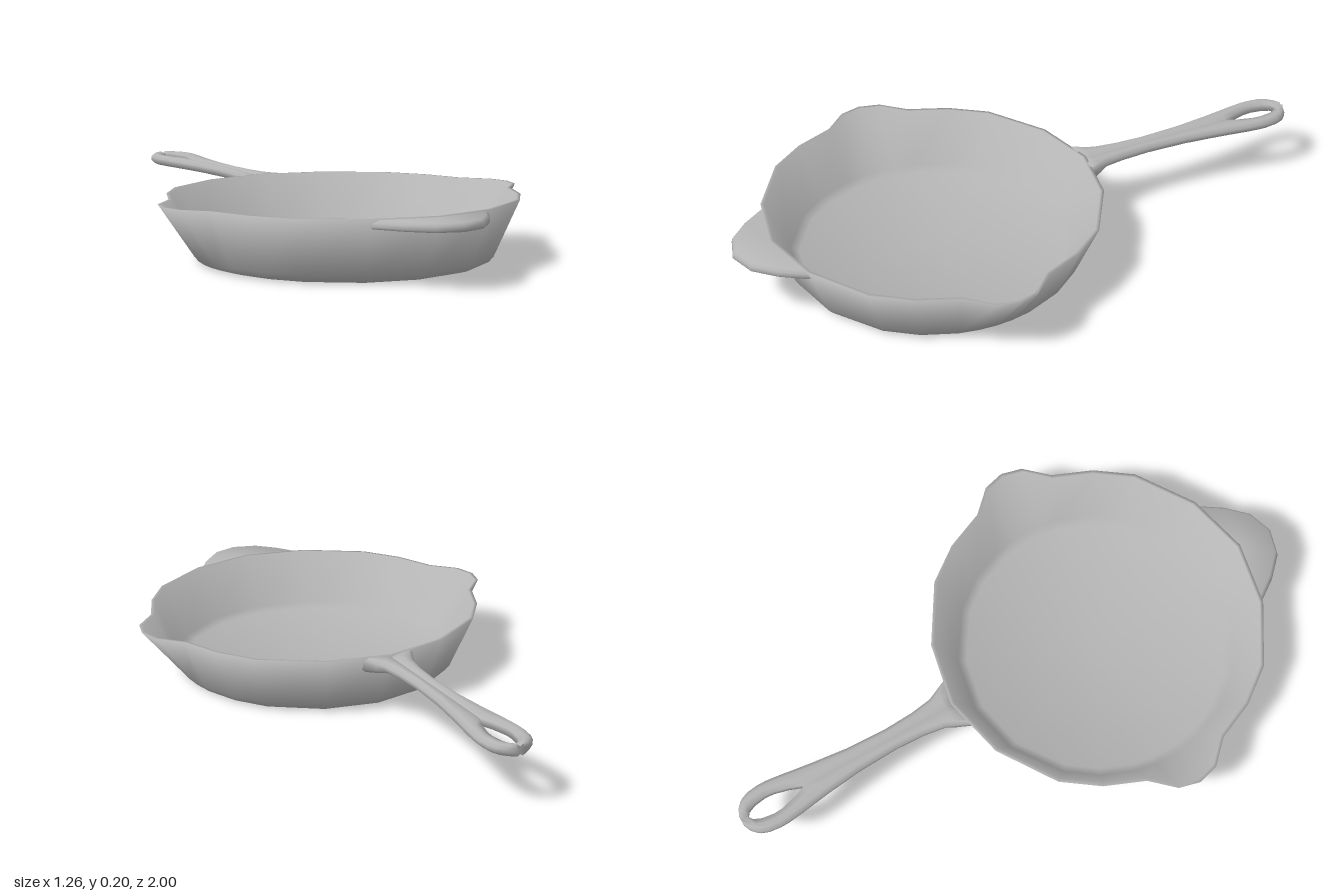
import * as THREE from 'three';
import { mergeGeometries, toCreasedNormals } from 'three/addons/utils/BufferGeometryUtils.js';

const CENTER_Z = 0.32;
const TOP = 0.205;

// Skin a stack of equal-length closed rings; first and last rings are single points
function loft(rings) {
  const n = rings[0].length;
  const index = [];
  for (let i = 0; i < rings.length - 1; i++) {
    for (let j = 0; j < n; j++) {
      const a = i * n + j, b = i * n + (j + 1) % n, c = a + n, d = b + n;
      if (i > 0) index.push(a, c, b);
      if (i < rings.length - 2) index.push(b, c, d);
    }
  }
  return new THREE.BufferGeometry().setFromPoints(rings.flat()).setIndex(index);
}

// Rim outline with two pouring spouts, mirrored from one quarter
function rimOutline() {
  const quarter = [[0.63, 0], [0.612, 0.07], [0.54, 0.145], [0.485, 0.275], [0.4, 0.39], [0.21, 0.51], [0, 0.555]];
  const half = [...quarter, ...quarter.slice(0, -1).reverse().map(([x, z]) => [-x, z])];
  return [...half, ...half.slice(1, -1).reverse().map(([x, z]) => [x, -z])];
}

// Circular ring of the pan body, or the spouted rim moved inward
const circleRing = (radius, y) => rimOutline().map(([x, z]) => {
  const k = radius / Math.hypot(x, z);
  return new THREE.Vector3(x * k, y, CENTER_Z + z * k);
});
const rimRing = inset => rimOutline().map(([x, z]) => {
  const k = 1 - inset / Math.hypot(x, z);
  return new THREE.Vector3(x * k, TOP, CENTER_Z + z * k);
});

// Thin-walled body, smooth over the rim
function panGeometry() {
  return toCreasedNormals(loft([
    circleRing(0, 0), circleRing(0.44, 0), circleRing(0.465, 0.007), circleRing(0.48, 0.025),
    rimRing(0), rimRing(0.012),
    circleRing(0.468, 0.032), circleRing(0.44, 0.017), circleRing(0, 0.017),
  ]), 2.3);
}

// Half a handle cross-section: a rounded rail from inner to outer x
function railSection([z, inner, outer, bottom = 0.17]) {
  const w = outer - inner, bevel = Math.min(0.013, w * 0.35), groove = 0.006;
  const profile = [
    [inner, bottom + groove], [inner + w * 0.4, bottom], [outer - bevel, bottom], [outer, bottom + 0.011],
    [outer, TOP - 0.011], [outer - bevel, TOP], [inner + w * 0.4, TOP], [inner, TOP - groove],
  ];
  return profile.map(([x, y]) => new THREE.Vector3(x, y, z));
}

// Long handle: two mirrored rails that part around the hanging hole
function handleGeometry() {
  const stations = [
    [-0.23, 0, 0.09, 0.147], [-0.255, 0, 0.067, 0.162], [-0.285, 0, 0.053], [-0.36, 0, 0.042], [-0.46, 0, 0.037],
    [-0.6, 0, 0.043], [-0.72, 0, 0.057], [-0.775, 0, 0.065], [-0.82, 0.018, 0.072], [-0.87, 0.031, 0.078],
    [-0.9, 0.033, 0.079], [-0.94, 0.027, 0.074], [-0.965, 0.016, 0.064], [-0.976, 0, 0.055],
    [-0.99, 0, 0.04], [-1, 0, 0.015],
  ];
  const rings = stations.map(railSection);
  // Slope the root to follow the pan wall
  for (const p of rings[0]) p.z = -0.228 + (TOP - p.y) * 0.4 + p.x * 0.2;
  // Close both ends to a point
  const point = (x, y, z) => rings[0].map(() => new THREE.Vector3(x, y, z));
  const right = [point(0.03, 0.176, -0.21), ...rings, point(0, 0.1875, -1)];
  const left = right.map(ring => ring.map(p => new THREE.Vector3(-p.x, p.y, p.z)).reverse());
  return toCreasedNormals(mergeGeometries([loft(right), loft(left)]), 1.5);
}

// Rounded helper grip on the front, its back edge buried in the pan wall
function gripGeometry() {
  const side = [[0.208, 0.822], [0.15, 0.907], [0.085, 0.972], [0, 0.998]];
  const outline = [...side, ...side.slice(0, -1).reverse().map(([x, z]) => [-x, z]), [0, 0.862]];
  const ring = (scale, y) => outline.map(([x, z]) =>
    new THREE.Vector3(x * scale, y, 0.862 + (z - 0.862) * scale));
  return toCreasedNormals(loft([
    ring(0, 0.175), ring(0.97, 0.175), ring(1, 0.181), ring(0.98, 0.193), ring(0.92, 0.202), ring(0, 0.203),
  ]), 1.2);
}

export function createModel() {
  const castIron = new THREE.MeshStandardMaterial({ color: 0xb4b4b4 });
  castIron.name = 'castIronGrey';

  const skillet = new THREE.Group();
  skillet.name = 'skillet';
  const parts = { pan: panGeometry(), handle: handleGeometry(), frontGrip: gripGeometry() };
  for (const [name, geometry] of Object.entries(parts)) {
    const mesh = new THREE.Mesh(geometry, castIron);
    mesh.name = name;
    skillet.add(mesh);
  }
  return skillet;
}
